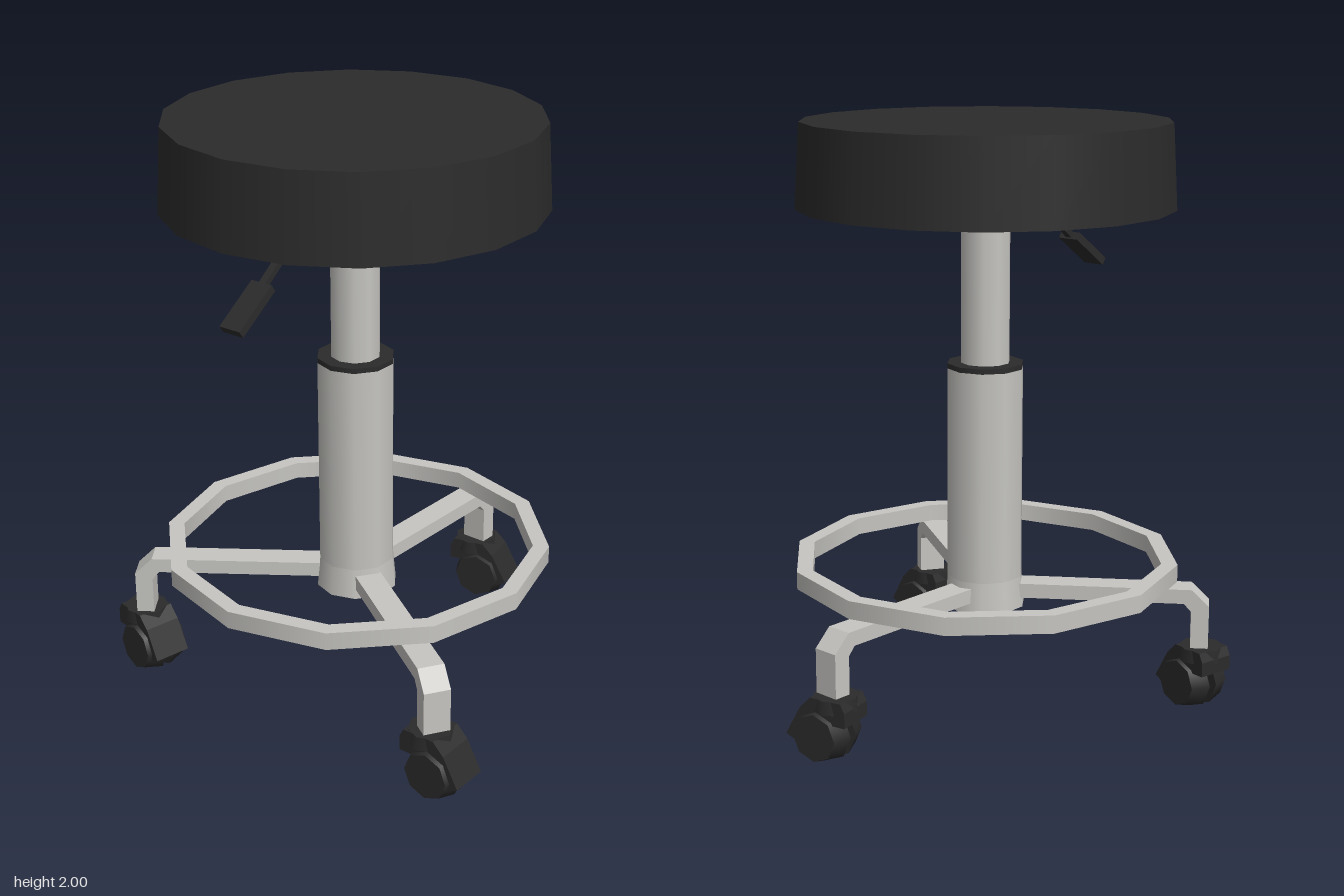
import * as THREE from 'three';

const AXIS_X = -0.083, AXIS_Z = -0.045;

export function createModel() {
  const model = new THREE.Group();
  model.name = 'rollingStool';
  const black = new THREE.MeshStandardMaterial({ color: 0x2b2b2b });
  black.name = 'black';
  const metal = new THREE.MeshStandardMaterial({ color: 0xc6c5c1 });
  metal.name = 'brushedMetal';

  const add = (parent, name, geometry, material, x = 0, y = 0, z = 0) => {
    const mesh = new THREE.Mesh(geometry, material);
    mesh.name = name;
    mesh.position.set(x, y, z);
    parent.add(mesh);
    return mesh;
  };
  // Upright cylinder between two heights, with a corner on the x axis
  const post = (name, rTop, rBottom, y0, y1, sides, material) => {
    const g = new THREE.CylinderGeometry(rTop, rBottom, y1 - y0, sides).rotateY(Math.PI / 2);
    return add(model, name, g, material, AXIS_X, (y0 + y1) / 2, AXIS_Z);
  };
  // Outline in (forward, up), extruded across z and centred
  const slab = (points, width) => {
    const shape = new THREE.Shape(points.map(p => new THREE.Vector2(...p)));
    return new THREE.ExtrudeGeometry(shape, { depth: width, bevelEnabled: false })
      .translate(0, 0, -width / 2);
  };

  // Seat and column
  post('seat', 0.608, 0.625, 1.72, 2, 18, black);
  post('gasLiftRod', 0.083, 0.083, 1.19, 1.725, 10, metal);
  post('columnCollar', 0.13, 0.13, 1.183, 1.2, 10, black);
  post('column', 0.13, 0.13, 0.46, 1.183, 10, metal);
  post('hub', 0.13, 0.14, 0.355, 0.46, 10, metal);

  // Twelve-sided foot ring with a square section
  const section = [[0.605, 0.47], [0.66, 0.47], [0.66, 0.53], [0.605, 0.53], [0.605, 0.47]];
  for (let i = 0; i < 4; i++) {
    const side = [section[i], section[i + 1]].map(p => new THREE.Vector2(...p));
    add(model, 'footRing', new THREE.LatheGeometry(side, 12), metal, AXIS_X, 0, AXIS_Z);
  }

  // Height lever: block, bent rod and flat grip
  const lever = new THREE.Group();
  lever.name = 'heightLever';
  lever.position.z = AXIS_Z + 0.01;
  model.add(lever);
  add(lever, 'leverBlock', new THREE.BoxGeometry(0.14, 0.06, 0.1), black, -0.26, 1.692, 0);
  const bar = (name, a, b, thick, width) => {
    const dx = b[0] - a[0], dy = b[1] - a[1];
    const g = new THREE.BoxGeometry(Math.hypot(dx, dy), thick, width);
    const mesh = add(lever, name, g, black, (a[0] + b[0]) / 2, (a[1] + b[1]) / 2, 0);
    mesh.rotation.z = Math.atan2(dy, dx);
  };
  bar('leverRod', [-0.32, 1.685], [-0.45, 1.648], 0.02, 0.025);
  bar('leverRod', [-0.445, 1.65], [-0.56, 1.562], 0.02, 0.025);
  bar('leverGrip', [-0.54, 1.575], [-0.69, 1.47], 0.028, 0.08);

  // Caster: socket, slanted hood and twin wheels, rolling along z
  const hoodOutline = [[-0.085, 0.15], [0.03, 0.15], [0.11, 0.075], [0.14, 0.09],
    [0.085, 0.19], [0.045, 0.23], [-0.07, 0.23], [-0.085, 0.2]];
  const makeCaster = (x, z, turn) => {
    const caster = new THREE.Group();
    caster.name = 'caster';
    caster.position.set(x, 0, z);
    caster.rotation.y = turn;
    model.add(caster);
    add(caster, 'casterSocket', new THREE.CylinderGeometry(0.075, 0.08, 0.045, 8), black, 0, 0.208, -0.01);
    add(caster, 'casterHood', slab(hoodOutline, 0.13).rotateY(-Math.PI / 2), black);
    add(caster, 'casterStem', new THREE.BoxGeometry(0.03, 0.12, 0.09), black, 0, 0.12, 0.02);
    for (const s of [-1, 1]) {
      const wheel = new THREE.CylinderGeometry(0.08, 0.1, 0.065, 8).rotateZ(-s * Math.PI / 2);
      add(caster, 'casterWheel', wheel, black, s * 0.047, 0.1, 0.025);
    }
  };

  // Three bent legs: end position and caster turn
  const legs = [[0.635, -0.028, 0.2], [-0.505, 0.595, 0], [-0.505, -0.65, -0.2]];
  for (const [x, z, turn] of legs) {
    const dx = x - AXIS_X, dz = z - AXIS_Z, r = Math.hypot(dx, dz);
    const outline = [[0.05, 0.388], [r - 0.055, 0.388], [r - 0.03, 0.36], [r - 0.03, 0.2],
      [r + 0.03, 0.2], [r + 0.03, 0.38], [r - 0.03, 0.438], [0.05, 0.438]];
    const leg = add(model, 'leg', slab(outline, 0.09), metal, AXIS_X, 0, AXIS_Z);
    leg.rotation.y = -Math.atan2(dz, dx);
    makeCaster(x, z, turn);
  }
  return model;
}
